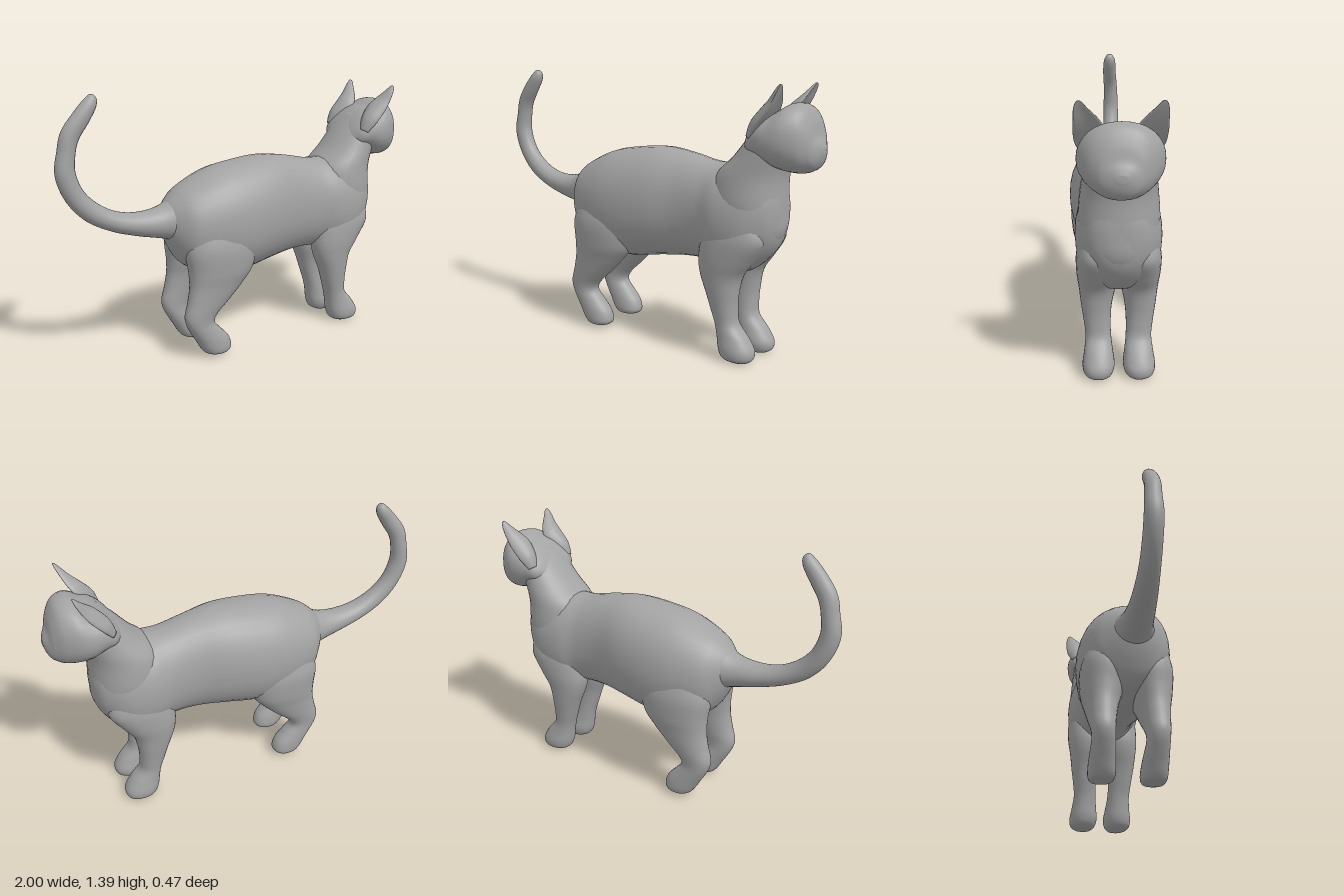
import * as THREE from 'three';

const SIDES = 32, STEPS = 6;

// Smoothly resample a short table of cross-sections (Catmull-Rom per column)
function resample(rows) {
  const out = [], last = rows.length - 1;
  const cr = (a, b, c, d, t) =>
    0.5 * (2 * b + (c - a) * t + (2 * a - 5 * b + 4 * c - d) * t * t + (3 * b - a - 3 * c + d) * t * t * t);
  for (let i = 0; i < last; i++) {
    const [a, b, c, d] = [rows[Math.max(i - 1, 0)], rows[i], rows[i + 1], rows[Math.min(i + 2, last)]];
    for (let s = 0; s < STEPS; s++) out.push(b.map((_, k) => cr(a[k], b[k], c[k], d[k], s / STEPS)));
  }
  out.push(rows[last]);
  return out;
}

// Skin rings {c: centre, u, v: half-axes}; power squares the ring, cup hollows it
function skin(rings, power = 2, cup = 0) {
  const pos = [], idx = [], e = 2 / power;
  const bend = (w) => Math.sign(w) * Math.abs(w) ** e;
  for (const { c, u, v } of rings) {
    const hollow = u.clone().setLength(v.length() * cup);
    for (let j = 0; j < SIDES; j++) {
      const a = (j / SIDES) * Math.PI * 2, s = Math.sin(a);
      const p = c.clone().addScaledVector(u, bend(Math.cos(a))).addScaledVector(v, bend(s));
      p.addScaledVector(hollow, 0.5 - s * s);
      pos.push(p.x, p.y, p.z);
    }
  }
  for (let i = 0; i < rings.length - 1; i++) {
    for (let j = 0; j < SIDES; j++) {
      const k = (j + 1) % SIDES, a = i * SIDES + j, b = i * SIDES + k;
      idx.push(a, b, a + SIDES, b, b + SIDES, a + SIDES);
    }
  }
  // close both ends
  const n = pos.length / 3, top = (rings.length - 1) * SIDES;
  pos.push(...rings[0].c.toArray(), ...rings[rings.length - 1].c.toArray());
  for (let j = 0; j < SIDES; j++) {
    const k = (j + 1) % SIDES;
    idx.push(n, k, j, n + 1, top + j, top + k);
  }
  const g = new THREE.BufferGeometry();
  g.setAttribute('position', new THREE.Float32BufferAttribute(pos, 3));
  g.setIndex(idx);
  g.computeVertexNormals();
  return g;
}

const V = (x, y, z) => new THREE.Vector3(x, y, z);

// Upright sections along x: [x, bottom, top, halfWidth]
const alongX = (rows, power) => skin(resample(rows).map(([x, b, t, w]) => ({
  c: V(x, (b + t) / 2, 0), u: V(0, (t - b) / 2, 0), v: V(0, 0, w),
})), power);

// Level sections from the top down: [y, xMin, xMax, zMin, zMax]
const downY = (rows, power) => skin(resample(rows).map(([y, x0, x1, z0, z1]) => ({
  c: V((x0 + x1) / 2, y, (z0 + z1) / 2), u: V((x1 - x0) / 2, 0, 0), v: V(0, 0, (z1 - z0) / 2),
})), power);

// Sections square to a path: [x, y, z, thickness radius, sideways radius]
function alongPath(rows, cup) {
  const r = resample(rows);
  return skin(r.map(([x, y, z, a, b], i) => {
    const p = r[Math.max(i - 1, 0)], q = r[Math.min(i + 1, r.length - 1)];
    const n = V(p[1] - q[1], q[0] - p[0], 0).normalize();
    return { c: V(x, y, z), u: n.multiplyScalar(a), v: V(0, 0, b) };
  }), 2, cup);
}

export function createModel() {
  const group = new THREE.Group();
  const fur = new THREE.MeshStandardMaterial({ color: 0xa3a3a3 });
  fur.name = 'grey fur';
  const add = (name, geometry) => {
    const m = new THREE.Mesh(geometry, fur);
    m.name = name;
    group.add(m);
  };

  add('body', alongX([
    [-0.47, 0.69, 0.8, 0.05], [-0.42, 0.57, 0.855, 0.125], [-0.35, 0.48, 0.905, 0.187],
    [-0.2, 0.425, 0.97, 0.228], [-0.05, 0.412, 0.997, 0.236], [0.12, 0.44, 1.01, 0.216],
    [0.28, 0.46, 0.99, 0.18], [0.42, 0.46, 0.96, 0.177], [0.52, 0.43, 0.955, 0.2],
    [0.62, 0.43, 0.95, 0.198], [0.7, 0.48, 0.94, 0.175], [0.77, 0.56, 0.91, 0.125],
    [0.8, 0.64, 0.85, 0.07], [0.808, 0.72, 0.78, 0.02],
  ], 2.15));

  add('neck', downY([
    [1.18, 0.72, 0.86, -0.1, 0.1], [1.1, 0.645, 0.86, -0.145, 0.145], [1.0, 0.56, 0.83, -0.163, 0.163],
    [0.9, 0.46, 0.808, -0.178, 0.178], [0.77, 0.44, 0.808, -0.186, 0.186],
    [0.65, 0.45, 0.806, -0.165, 0.165], [0.57, 0.5, 0.765, -0.12, 0.12], [0.52, 0.56, 0.7, -0.05, 0.05],
  ], 2.1));

  add('head', alongX([
    [0.635, 1.03, 1.07, 0.07], [0.68, 1.005, 1.135, 0.155], [0.74, 0.985, 1.195, 0.183],
    [0.8, 0.952, 1.225, 0.19], [0.86, 0.938, 1.255, 0.181], [0.92, 0.938, 1.24, 0.148],
    [0.957, 0.953, 1.18, 0.108], [0.975, 0.968, 1.115, 0.08], [0.99, 0.995, 1.085, 0.05],
    [1.0, 1.03, 1.06, 0.02],
  ], 2.25));

  add('tail', alongPath([
    [-0.36, 0.74, 0, 0.13, 0.13], [-0.48, 0.733, 0, 0.083, 0.085], [-0.6, 0.742, 0, 0.06, 0.068],
    [-0.72, 0.772, -0.003, 0.05, 0.058], [-0.83, 0.832, -0.007, 0.05, 0.05],
    [-0.91, 0.92, -0.01, 0.048, 0.047], [-0.95, 1.03, -0.01, 0.048, 0.046],
    [-0.94, 1.13, -0.01, 0.043, 0.042], [-0.918, 1.21, -0.006, 0.045, 0.04],
    [-0.865, 1.285, 0, 0.042, 0.038], [-0.82, 1.345, 0, 0.034, 0.034],
    [-0.803, 1.378, 0, 0.02, 0.02], [-0.798, 1.386, 0, 0.004, 0.004],
  ]));

  for (const [side, s] of [['left', -1], ['right', 1]]) {
    const mirror = (rows) => rows.map(([y, a, b, z0, z1]) => (s > 0 ? [y, a, b, z0, z1] : [y, a, b, -z1, -z0]));

    // thin cupped ear leaning forward
    add(`${side}Ear`, alongPath([
      [0.7, 1.1, 0.145 * s, 0.015, 0.03], [0.735, 1.155, 0.14 * s, 0.026, 0.056],
      [0.785, 1.215, 0.133 * s, 0.024, 0.068], [0.82, 1.26, 0.144 * s, 0.017, 0.055],
      [0.848, 1.305, 0.165 * s, 0.011, 0.032], [0.864, 1.334, 0.174 * s, 0.006, 0.014],
      [0.867, 1.34, 0.175 * s, 0.002, 0.004],
    ], 0.35));

    add(`${side}FrontLeg`, downY(mirror([
      [0.68, 0.48, 0.74, 0.04, 0.18], [0.6, 0.43, 0.76, 0.01, 0.197], [0.5, 0.412, 0.7, 0.0, 0.197],
      [0.42, 0.425, 0.645, 0.012, 0.188], [0.33, 0.46, 0.625, 0.03, 0.177], [0.25, 0.486, 0.62, 0.036, 0.165],
      [0.18, 0.508, 0.628, 0.035, 0.157], [0.12, 0.52, 0.678, 0.028, 0.163], [0.06, 0.53, 0.714, 0.02, 0.172],
      [0.02, 0.547, 0.712, 0.03, 0.165], [0.002, 0.575, 0.69, 0.05, 0.14],
    ]), 2.2));

    add(`${side}HindLeg`, downY(mirror([
      [0.72, -0.34, -0.05, 0.06, 0.2], [0.6, -0.393, 0.0, 0.0, 0.232], [0.48, -0.385, -0.02, 0.02, 0.227],
      [0.4, -0.385, -0.08, 0.045, 0.212], [0.32, -0.4, -0.16, 0.062, 0.2], [0.25, -0.418, -0.237, 0.073, 0.19],
      [0.2, -0.41, -0.256, 0.074, 0.186], [0.15, -0.385, -0.215, 0.068, 0.188], [0.1, -0.355, -0.172, 0.062, 0.191],
      [0.05, -0.325, -0.157, 0.06, 0.19], [0.025, -0.3, -0.17, 0.07, 0.18], [0.018, -0.26, -0.2, 0.09, 0.16],
    ]), 2.2));
  }
  return group;
}
